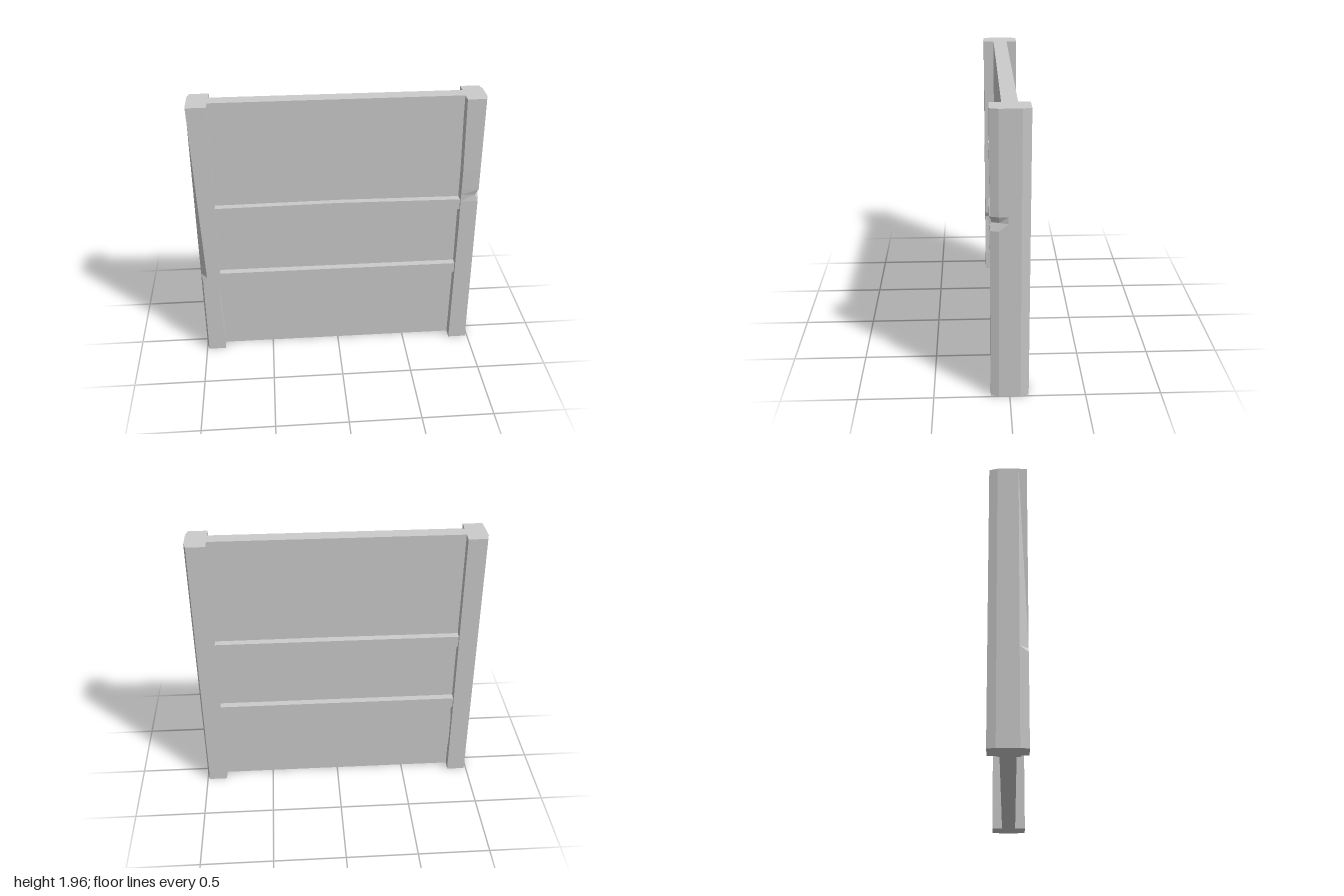
import * as THREE from 'three';

const HEIGHT = 1.96;
const material = new THREE.MeshStandardMaterial({ color: 0xcccccc, flatShading: true });

// Post outline [x, z]: inner front, outer front, side front, side middle, side back, outer back, inner back
const OUTLINE = [[0.855, 0.125], [0.985, 0.125], [1, 0.07], [1, 0.01], [1, -0.07], [0.985, -0.125], [0.855, -0.125]];

// Lofts the outline through levels; each level may move some corners to make chips and wear
function makePost(name, side, levels) {
  const n = OUTLINE.length;
  const positions = [];
  const index = [];
  const tri = (a, b, c) => index.push(...(side > 0 ? [a, b, c] : [a, c, b]));
  for (const { y, moved = {} } of levels) {
    OUTLINE.forEach((p, i) => {
      const [x, z] = moved[i] ?? p;
      positions.push(side * x, y, z);
    });
  }
  for (let j = 0; j < levels.length - 1; j++) {
    for (let i = 0; i < n; i++) {
      const a = j * n + i, b = j * n + (i + 1) % n;
      tri(a, b, b + n);
      tri(a, b + n, a + n);
    }
  }
  const top = (levels.length - 1) * n;
  for (let i = 1; i < n - 1; i++) {
    tri(0, i + 1, i);
    tri(top, top + i, top + i + 1);
  }
  const indexed = new THREE.BufferGeometry();
  indexed.setAttribute('position', new THREE.Float32BufferAttribute(positions, 3));
  indexed.setIndex(index);
  const geometry = indexed.toNonIndexed();
  geometry.computeVertexNormals();
  const mesh = new THREE.Mesh(geometry, material);
  mesh.name = name;
  return mesh;
}

// Rail running through the panel; its front half can bow upward
function makeRail(name, y, bow) {
  const geometry = new THREE.BoxGeometry(1.73, 0.08, 0.2, 8, 1, 1);
  const p = geometry.attributes.position;
  for (let i = 0; i < p.count; i++) {
    if (p.getZ(i) > 0) p.setY(i, p.getY(i) + bow * (1 - Math.abs(p.getX(i)) / 0.865));
  }
  geometry.computeVertexNormals();
  const mesh = new THREE.Mesh(geometry, material);
  mesh.name = name;
  mesh.position.y = y;
  return mesh;
}

export function createModel() {
  const model = new THREE.Group();
  model.name = 'panelledWall';

  // Flat panel between the posts
  const panel = new THREE.Mesh(new THREE.BoxGeometry(1.74, HEIGHT, 0.1), material);
  panel.name = 'panel';
  panel.position.y = HEIGHT / 2;
  model.add(panel);

  // Horizontal rails standing out on both faces
  model.add(makeRail('upperRail', 1.157, 0.01), makeRail('lowerRail', 0.62, 0));

  // Left post: a wedge-shaped notch in its outer front edge
  model.add(makePost('leftPost', 1, [
    { y: 0 },
    { y: 0.98, moved: { 0: [0.865, 0.123] } },
    { y: 1.19, moved: { 0: [0.865, 0.116] } },
    { y: 1.24, moved: { 0: [0.865, 0.118], 1: [0.965, 0.115], 2: [0.982, 0.068] } },
    { y: 1.285, moved: { 0: [0.865, 0.12] } },
    { y: 1.43, moved: { 0: [0.865, 0.123] } },
    { y: HEIGHT },
  ]));

  // Right post: long worn outer edge and a chip in the inner edge
  const inner = [0.863, 0.125];
  model.add(makePost('rightPost', -1, [
    { y: 0, moved: { 0: inner } },
    { y: 0.14, moved: { 0: inner } },
    { y: 0.48, moved: { 0: [0.88, 0.125] } },
    { y: 0.52, moved: { 0: inner } },
    { y: 0.61, moved: { 0: inner } },
    { y: 0.65, moved: { 0: inner, 1: [0.955, 0.125] } },
    { y: HEIGHT, moved: { 0: inner, 1: [0.998, 0.125] } },
  ]));

  return model;
}
